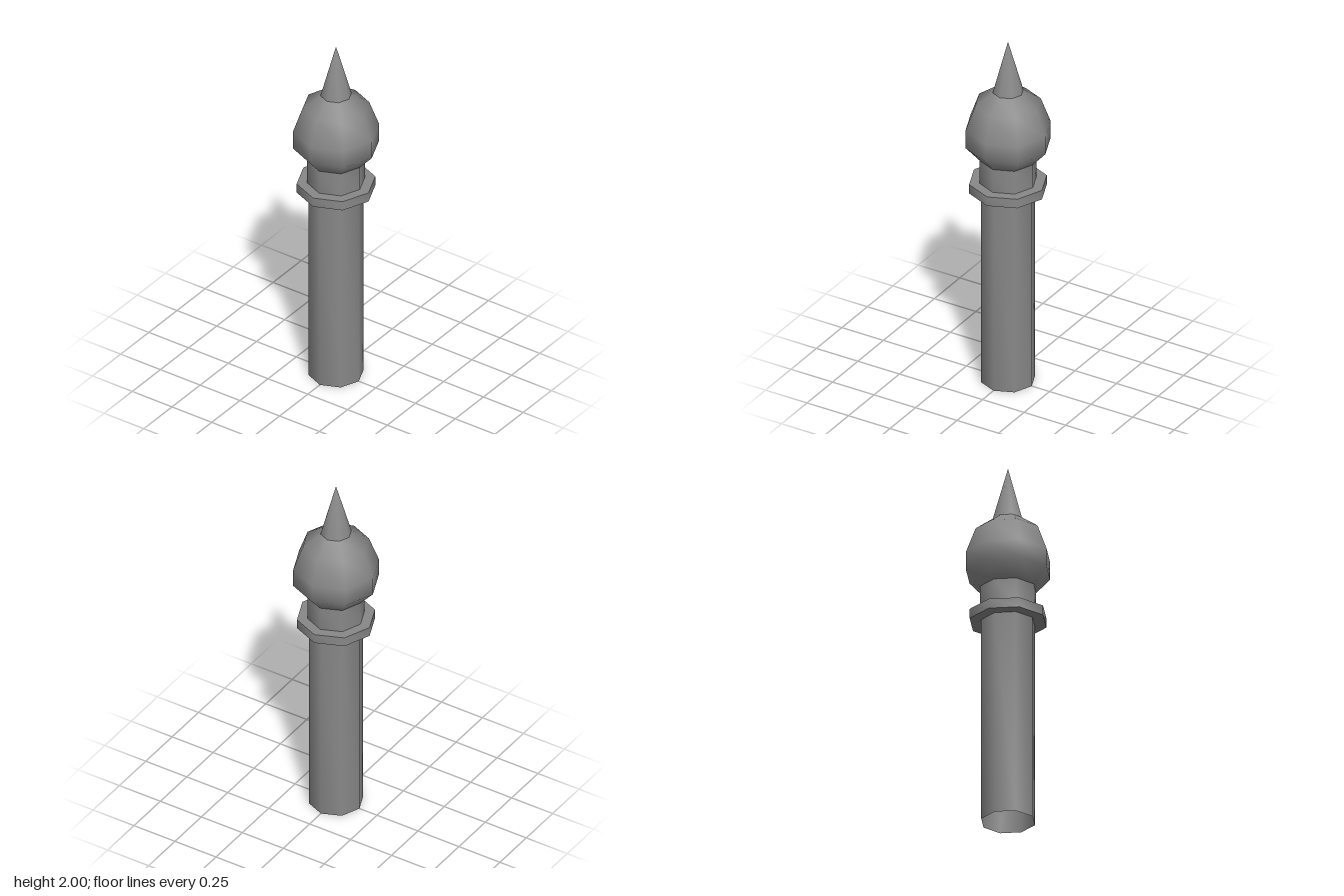
import * as THREE from 'three';
import { mergeVertices } from 'three/addons/utils/BufferGeometryUtils.js';

const SIDES = 8;

export function createModel() {
  const group = new THREE.Group();
  const material = new THREE.MeshStandardMaterial({ color: 0x888888, side: THREE.DoubleSide });

  // Turn a [radius, height] profile, listed bottom to top, into an eight-sided smooth part
  function turned(name, profile) {
    const points = profile.map(([r, y]) => new THREE.Vector2(r, y));
    const lathe = new THREE.LatheGeometry(points, SIDES);
    // Weld the seam and the tip so the shading runs evenly all round
    lathe.deleteAttribute('normal');
    lathe.deleteAttribute('uv');
    const geometry = mergeVertices(lathe);
    geometry.computeVertexNormals();
    const mesh = new THREE.Mesh(geometry, material);
    mesh.name = name;
    group.add(mesh);
  }

  // Post, open at the bottom
  turned('shaft', [[0.143, 0], [0.143, 1.127]]);

  // Flat ring around the post; separate faces keep its rims sharp
  turned('collarUnderside', [[0.143, 1.127], [0.205, 1.127]]);
  turned('collarRim', [[0.205, 1.127], [0.205, 1.18]]);
  turned('collarTop', [[0.205, 1.18], [0.15, 1.18]]);

  // Short neck between collar and ball
  turned('neck', [[0.15, 1.18], [0.15, 1.315]]);

  // Rounded ball
  turned('ball', [[0.15, 1.315], [0.225, 1.4], [0.225, 1.5], [0.173, 1.64], [0.081, 1.707]]);

  // Pointed tip
  turned('spike', [[0.081, 1.707], [0, 2]]);

  return group;
}
